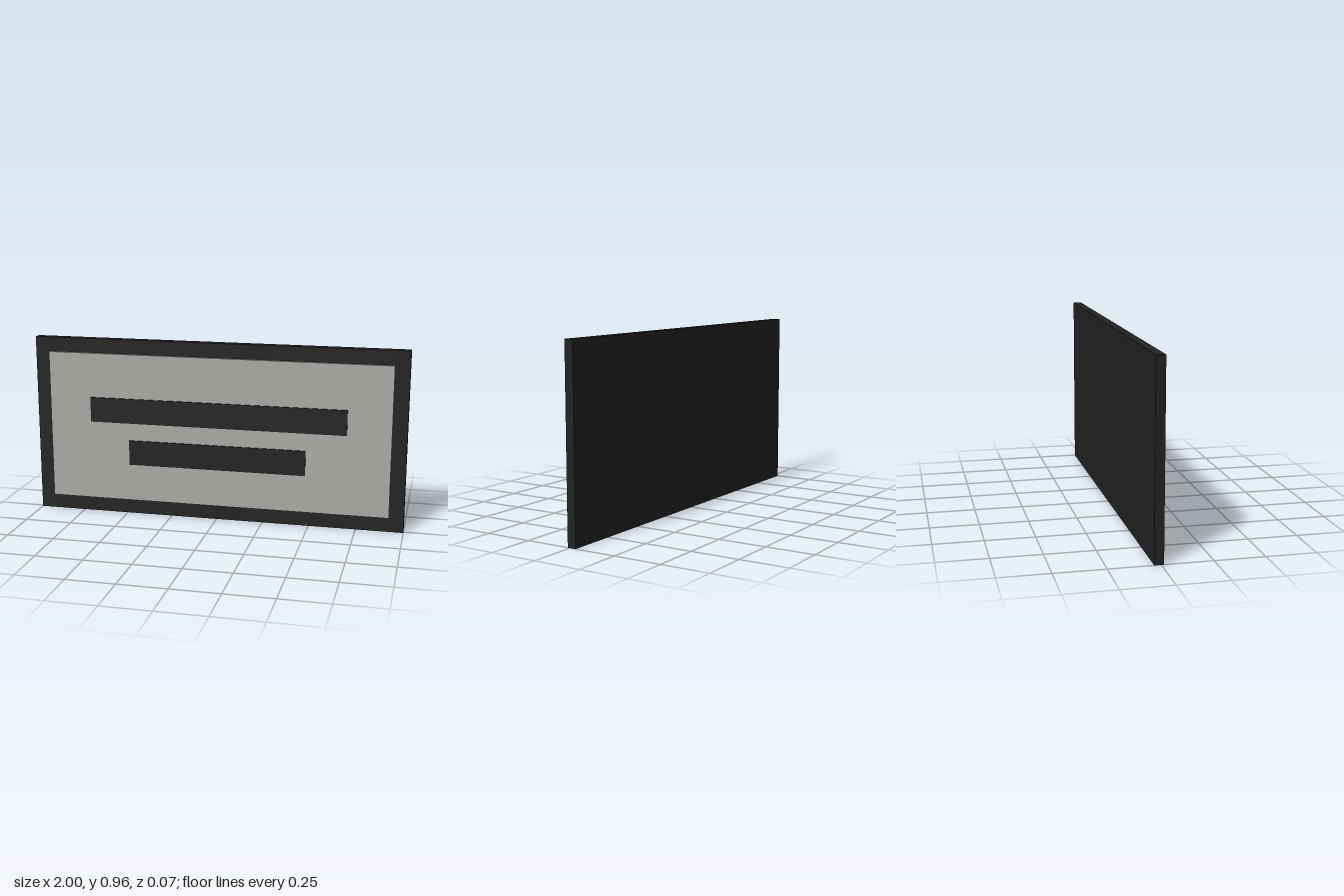
import * as THREE from 'three';

export function createModel() {
  const group = new THREE.Group();
  const black = new THREE.MeshStandardMaterial({ color: 0x222222 });
  black.name = 'black';
  const grey = new THREE.MeshStandardMaterial({ color: 0xaaaaa7 });
  grey.name = 'light grey';

  // Box centred on x, spanning the given heights and depths
  function slab(name, material, width, y0, y1, z0, z1) {
    const mesh = new THREE.Mesh(new THREE.BoxGeometry(width, y1 - y0, z1 - z0), material);
    mesh.position.set(0, (y0 + y1) / 2, (z0 + z1) / 2);
    mesh.name = name;
    group.add(mesh);
  }

  slab('backBoard', black, 2, 0, 0.962, -0.033, 0.013);
  slab('facePanel', grey, 1.846, 0.078, 0.885, 0.013, 0.026);
  // Raised bars on the panel
  slab('upperBar', black, 1.386, 0.51, 0.645, 0.026, 0.033);
  slab('lowerBar', black, 0.96, 0.28, 0.415, 0.026, 0.033);
  return group;
}
